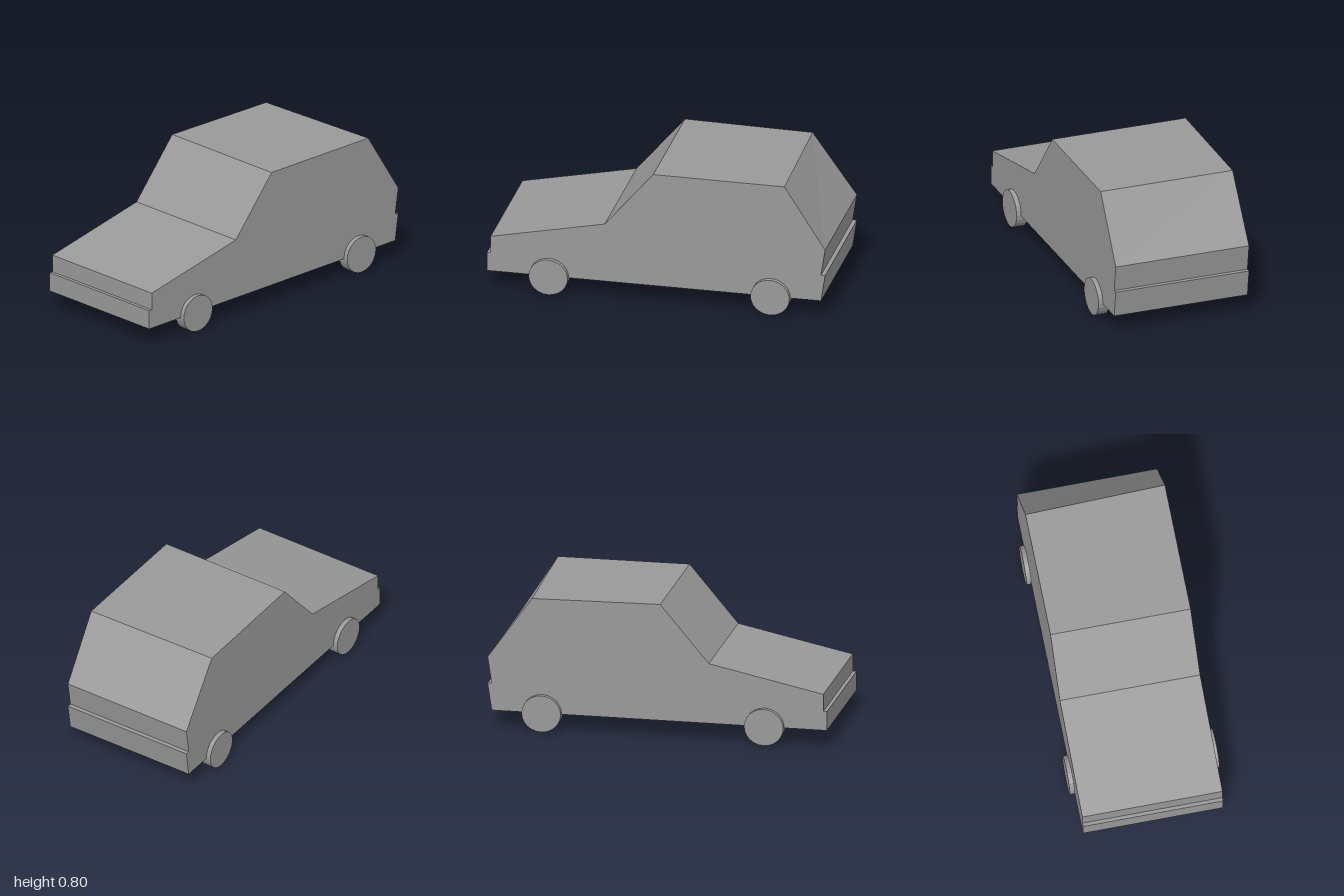
import * as THREE from 'three';

const HALF_WIDTH = 0.407;
const YAW = 0.028;

export function createModel() {
  const car = new THREE.Group();
  car.name = 'hatchbackCar';
  const material = new THREE.MeshStandardMaterial({ color: 0x999999, flatShading: true });

  // Side outline: nose at -x, tailgate at +x
  const outline = [
    [-0.988, 0.105], [0.964, 0.105], [0.988, 0.264], [0.964, 0.265], [0.988, 0.422],
    [0.75, 0.793], [-0.017, 0.795], [-0.3, 0.46], [-0.967, 0.319], [-0.967, 0.217], [-0.988, 0.217],
  ].map(([x, y]) => new THREE.Vector2(x, y));
  const bodyGeometry = new THREE.ExtrudeGeometry(new THREE.Shape(outline), {
    depth: 2 * HALF_WIDTH, bevelEnabled: false,
  });
  bodyGeometry.translate(0, 0, -HALF_WIDTH);

  // One rear roof corner sits slightly forward and lower than the other
  const p = bodyGeometry.attributes.position;
  for (let i = 0; i < p.count; i++) {
    if (p.getZ(i) < 0 && Math.abs(p.getX(i) - 0.75) < 1e-3) p.setXY(i, 0.729, 0.784);
  }
  bodyGeometry.computeVertexNormals();
  const body = new THREE.Mesh(bodyGeometry, material);
  body.name = 'body';
  car.add(body);

  // Four wheels, partly sunk into the body sides
  const wheelGeometry = new THREE.CylinderGeometry(1, 1, 0.066, 24);
  wheelGeometry.rotateX(Math.PI / 2);
  wheelGeometry.scale(0.114, 0.108, 1);
  for (const [end, x] of [['front', -0.625], ['rear', 0.671]]) {
    for (const side of [-1, 1]) {
      const wheel = new THREE.Mesh(wheelGeometry, material);
      wheel.name = `${end}Wheel${side > 0 ? 'Near' : 'Far'}`;
      wheel.position.set(x, 0.108, side * 0.401);
      car.add(wheel);
    }
  }

  // The whole car is turned slightly
  car.rotation.y = YAW;
  const model = new THREE.Group();
  model.name = 'model';
  model.add(car);
  return model;
}
